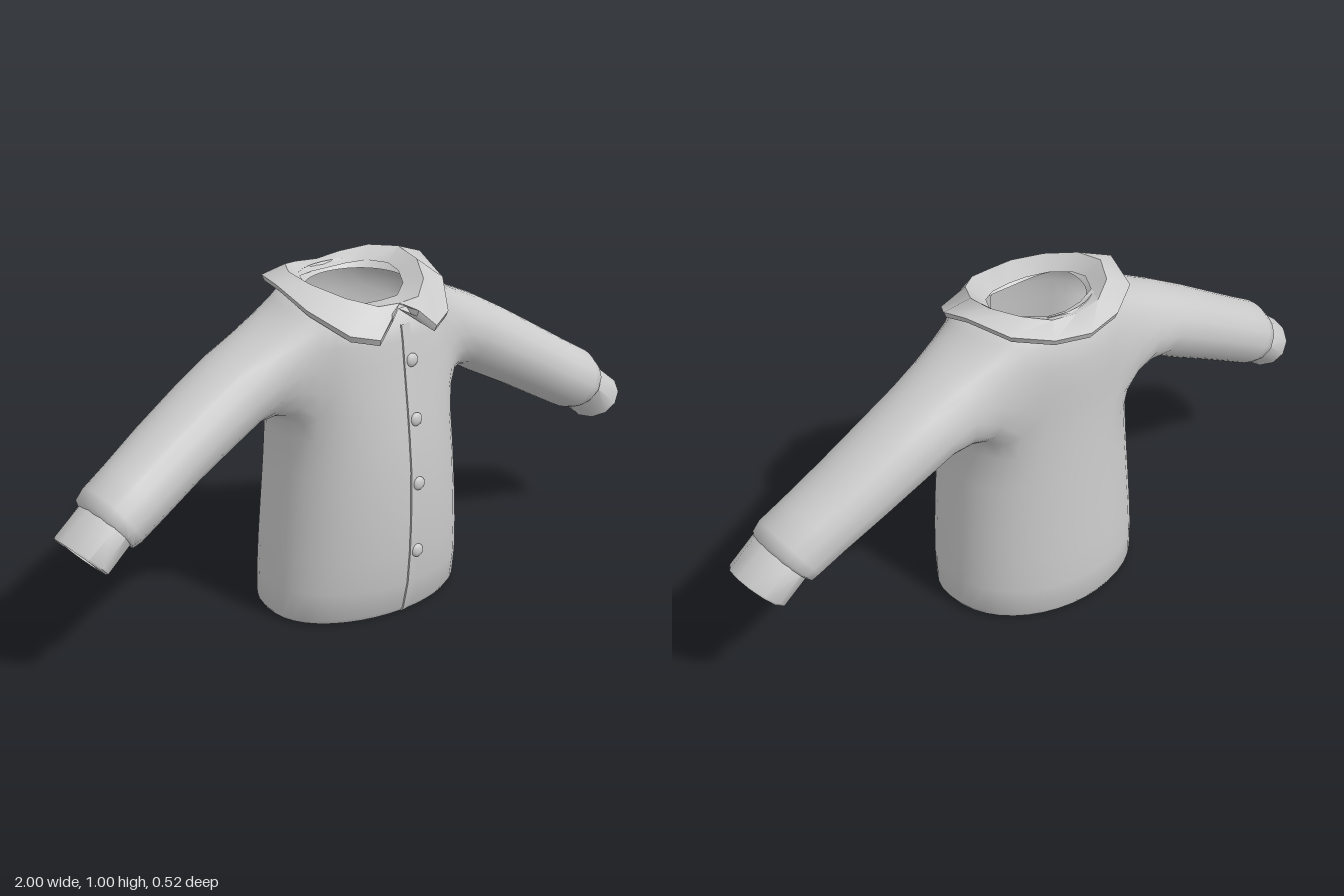
import * as THREE from 'three';
import { toCreasedNormals } from 'three/addons/utils/BufferGeometryUtils.js';

const material = new THREE.MeshStandardMaterial({ color: 0xcccccc, side: THREE.DoubleSide });

// Collects points and quads, then makes one mesh with kept hard edges
class Skin {
  constructor() { this.points = []; this.index = []; }
  add(p) { return this.points.push(p) - 1; }
  quad(a, b, c, d, flip) { // b above a, d beside a
    this.index.push(...(flip ? [a, d, b, b, d, c] : [a, b, d, b, c, d]));
  }
  // Joins rings of vertex numbers
  join(rings, flip) {
    for (let k = 0; k + 1 < rings.length; k++) {
      const n = rings[k].length;
      for (let j = 0; j < n; j++) {
        const m = (j + 1) % n;
        this.quad(rings[k][j], rings[k + 1][j], rings[k + 1][m], rings[k][m], flip);
      }
    }
  }
  // Softens the chosen vertices towards the mean of their neighbours
  relax(chosen, times) {
    const near = new Map(chosen.map(v => [v, new Set()]));
    this.index.forEach((v, i) => {
      const t = i - (i % 3);
      if (near.has(v)) for (let k = t; k < t + 3; k++) if (k !== i) near.get(v).add(this.index[k]);
    });
    for (let n = 0; n < times; n++) {
      for (const [v, set] of near) {
        const p = this.points[v];
        this.points[v] = p.map((x, axis) => {
          let sum = 0;
          for (const o of set) sum += this.points[o][axis];
          return (x + sum / set.size) / 2;
        });
      }
    }
  }
  mesh(name, crease) {
    const g = new THREE.BufferGeometry();
    g.setAttribute('position', new THREE.Float32BufferAttribute(this.points.flat(), 3));
    g.setIndex(this.index);
    const mesh = new THREE.Mesh(toCreasedNormals(g, crease), material);
    mesh.name = name;
    return mesh;
  }
}

// Torso rows: height, half width, front depth, back depth, drop at front
const ROWS = [
  [0.03, 0.294, 0.203, 0.238, 0], [0.003, 0.294, 0.2, 0.24, 0], [0, 0.304, 0.208, 0.248, 0],
  [0.014, 0.314, 0.217, 0.256, 0], [0.1, 0.312, 0.237, 0.259, 0], [0.2, 0.306, 0.246, 0.255, 0],
  [0.3, 0.298, 0.25, 0.25, 0], [0.45, 0.286, 0.249, 0.242, 0], [0.56, 0.279, 0.239, 0.238, 0],
  [0.63, 0.284, 0.231, 0.236, 0], [0.7, 0.288, 0.222, 0.236, 0], [0.77, 0.288, 0.213, 0.238, 0],
  [0.84, 0.278, 0.206, 0.236, 0.01], [0.91, 0.25, 0.198, 0.225, 0.035],
  [0.95, 0.212, 0.172, 0.2, 0.045], [0.965, 0.172, 0.14, 0.165, 0.05], [0.94, 0.15, 0.12, 0.145, 0.045],
];
const HOLE = { r0: 9, r1: 13, c0: -6, c1: 4 };
const N = 40;

// Sleeve sections: top x, y, bottom x, y, front z, back z
const SLEEVE = [
  [0.335, 0.873, 0.315, 0.64, 0.118, -0.185], [0.45, 0.815, 0.375, 0.61, 0.1, -0.172],
  [0.57, 0.747, 0.46, 0.563, 0.1, -0.16], [0.7, 0.667, 0.58, 0.5, 0.105, -0.145],
  [0.82, 0.592, 0.7, 0.432, 0.115, -0.125], [0.89, 0.55, 0.785, 0.384, 0.122, -0.115],
  [0.912, 0.522, 0.81, 0.378, 0.12, -0.112], [0.912, 0.5, 0.828, 0.392, 0.105, -0.09],
];
const CUFF = [
  [0.89, 0.52, 0.8, 0.41, 0.112, -0.092], [0.915, 0.505, 0.82, 0.39, 0.115, -0.095],
  [0.996, 0.442, 0.888, 0.326, 0.115, -0.09], [1.0, 0.437, 0.894, 0.326, 0.11, -0.085],
  [0.978, 0.417, 0.916, 0.347, 0.08, -0.047], [0.88, 0.5, 0.81, 0.42, 0.08, -0.047],
];

function torsoPoint([y, w, front, back, drop], i) {
  const a = (i / N) * Math.PI * 2, s = Math.sin(a);
  return [w * Math.cos(a), y - drop * Math.max(0, s) ** 2,
    (s > 0 ? front : back) * Math.sign(s) * Math.abs(s) ** 0.92];
}

// Point of a sleeve or cuff section at angle a, from the front upwards
function sectionPoint([tx, ty, bx, by, zf, zb], a, side) {
  const c = Math.cos(a), s = Math.sin(a);
  return [side * ((tx + bx) / 2 + s * (tx - bx) / 2), (ty + by) / 2 + s * (ty - by) / 2,
    (zf + zb) / 2 + c * (zf - zb) / 2];
}

// Torso with open armholes, from whose edges the sleeves grow
function makeShirt() {
  const skin = new Skin();
  const { r0, r1, c0, c1 } = HOLE;
  const grid = ROWS.map(row => Array.from({ length: N }, (_, i) => skin.add(torsoPoint(row, i))));
  const column = (c, side) => ((side > 0 ? c : N / 2 - c) + N) % N;
  const holes = new Set();
  for (let c = c0; c < c1; c++) {
    holes.add(column(c, 1));
    holes.add(column(c + 1, -1));
  }
  for (let r = 0; r + 1 < ROWS.length; r++) {
    for (let i = 0; i < N; i++) {
      if (r >= r0 && r < r1 && holes.has(i)) continue;
      const j = (i + 1) % N;
      skin.quad(grid[r][i], grid[r + 1][i], grid[r + 1][j], grid[r][j]);
    }
  }
  // Armhole edge: up the front, back over the top, down and forward below
  const loop = [];
  for (let r = r0; r < r1; r++) loop.push([r, c1]);
  for (let c = c1; c > c0; c--) loop.push([r1, c]);
  for (let r = r1; r > r0; r--) loop.push([r, c0]);
  for (let c = c0; c < c1; c++) loop.push([r0, c]);
  const angles = loop.map(([r, c]) => Math.atan2(
    (r - (r0 + r1) / 2) / (r1 - r0), (c - (c0 + c1) / 2) / (c1 - c0)));
  for (const side of [1, -1]) {
    const edge = loop.map(([r, c]) => grid[r][column(c, side)]);
    const sleeve = SLEEVE.map(s => angles.map(a => skin.add(sectionPoint(s, a, side))));
    const between = edge.map((v, j) => skin.add(
      skin.points[v].map((x, axis) => (x + skin.points[sleeve[0][j]][axis]) / 2)));
    skin.join([edge, between, ...sleeve], side < 0);
    skin.relax([...edge, ...between, ...sleeve[0]], 3);
  }
  return skin.mesh('torsoAndSleeves', 1.1);
}

function makeCuff(side) {
  const skin = new Skin(), n = 12;
  const rings = CUFF.map(s => Array.from({ length: n },
    (_, i) => skin.add(sectionPoint(s, (i / n) * Math.PI * 2, side))));
  skin.join(rings, side < 0);
  return skin.mesh(side > 0 ? 'leftCuff' : 'rightCuff', 0.7);
}

// Half collar from front to back: inner edge, fold, outer edge
const COLLAR = [
  [[0, 0.92, 0.105], [0, 0.932, 0.185], [0.045, 0.908, 0.213]],
  [[0.06, 0.92, 0.1], [0.07, 0.935, 0.18], [0.1, 0.856, 0.226]],
  [[0.115, 0.935, 0.06], [0.14, 0.958, 0.12], [0.175, 0.873, 0.188]],
  [[0.148, 0.95, 0], [0.19, 0.985, 0.03], [0.242, 0.933, 0.085]],
  [[0.15, 0.96, -0.05], [0.196, 1.0, -0.06], [0.257, 0.98, -0.035]],
  [[0.12, 0.96, -0.11], [0.15, 0.994, -0.14], [0.21, 0.967, -0.17]],
  [[0.06, 0.955, -0.135], [0.08, 0.977, -0.185], [0.11, 0.948, -0.234]],
  [[0, 0.952, -0.142], [0, 0.968, -0.19], [0, 0.938, -0.255]],
];

function makeCollar() {
  const skin = new Skin();
  const mirrored = COLLAR.slice(0, -1).reverse().map(s => s.map(([x, y, z]) => [-x, y, z]));
  const rings = [...COLLAR, ...mirrored].map(([inner, fold, outer]) => {
    const under = ([x, y, z]) => [x * 0.97, y - 0.018, z * 0.97];
    return [inner, fold, outer, under(outer), under(fold)].map(p => skin.add(p));
  });
  skin.join(rings, true);
  // Close both front ends
  for (const [ring, flip] of [[rings[0], false], [rings[rings.length - 1], true]]) {
    for (let k = 1; k < 4; k++) {
      skin.index.push(ring[0], ring[flip ? k + 1 : k], ring[flip ? k : k + 1]);
    }
  }
  return skin.mesh('collar', 0.85);
}

const frontRows = ROWS.slice(2, -3);
function frontZ(y) {
  const k = Math.max(1, frontRows.findIndex(r => r[0] >= y));
  const a = frontRows[k - 1], b = frontRows[k];
  return THREE.MathUtils.mapLinear(y, a[0], b[0], a[2], b[2]);
}

// Overlapping front edge, a thin wedge that fades into the torso
function makePlacket() {
  const skin = new Skin();
  const rings = frontRows.map(([y, , z, , drop]) =>
    [[-0.008, z - 0.012], [0.05, z - 0.014], [0.045, z - 0.005], [-0.008, z + 0.005]]
      .map(([x, pz]) => skin.add([x, y - drop, pz])));
  skin.join(rings, true);
  return skin.mesh('buttonPlacket', 0.6);
}

export function createModel() {
  const shirt = new THREE.Group();
  shirt.name = 'shirt';
  shirt.add(makeShirt(), makeCuff(1), makeCuff(-1), makeCollar(), makePlacket());

  // Row of flattened buttons
  const button = new THREE.SphereGeometry(0.02, 12, 8);
  for (const y of [0.77, 0.6, 0.41, 0.2]) {
    const mesh = new THREE.Mesh(button, material);
    mesh.name = 'button';
    mesh.scale.z = 0.5;
    mesh.position.set(0.02, y, frontZ(y) + 0.002);
    shirt.add(mesh);
  }
  return shirt;
}
